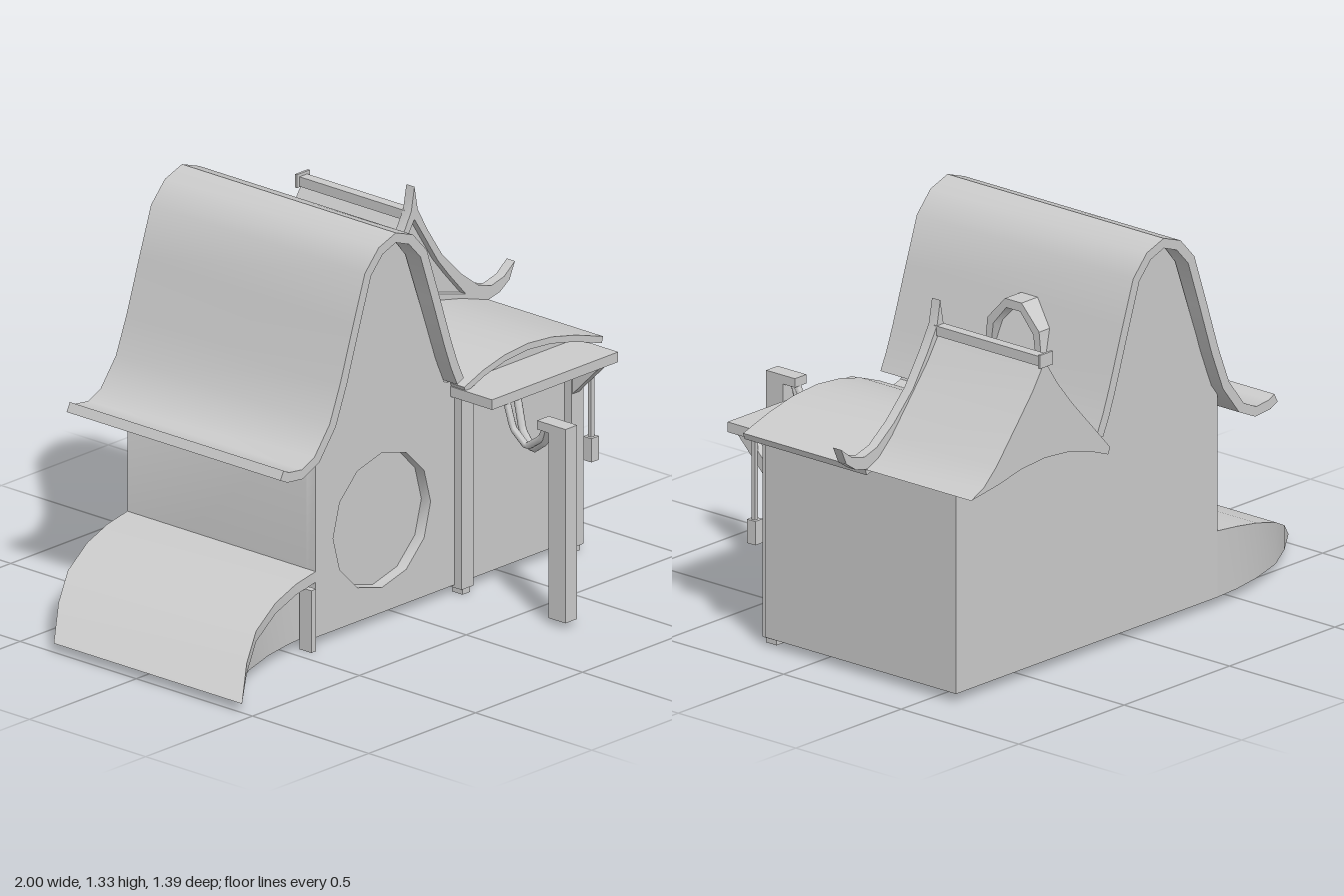
import * as THREE from 'three';
import { toCreasedNormals } from 'three/addons/utils/BufferGeometryUtils.js';

const material = new THREE.MeshStandardMaterial({ color: 0xcccccc, side: THREE.DoubleSide });
const V = (p) => new THREE.Vector2(p[0], p[1]);

// Prism with an (x, y) outline between two depths
function prism(outline, z0, z1, hole) {
  const shape = new THREE.Shape(outline.map(V));
  if (hole) shape.holes.push(new THREE.Path(hole.map(V)));
  const geo = new THREE.ExtrudeGeometry(shape, { depth: z1 - z0, bevelEnabled: false });
  geo.translate(0, 0, z0);
  return toCreasedNormals(geo, 0.6);
}

// Closed outline of a line thickened downward along its normals
function band(line, t) {
  const under = line.map((p, i) => {
    const a = line[Math.max(i - 1, 0)], b = line[Math.min(i + 1, line.length - 1)];
    const dx = b[0] - a[0], dy = b[1] - a[1], l = Math.hypot(dx, dy);
    return [p[0] + (dy / l) * t, p[1] - (dx / l) * t];
  });
  return [...line, ...under.reverse()];
}

export function createModel() {
  const model = new THREE.Group();
  const add = (name, geo) => {
    const mesh = new THREE.Mesh(geo, material);
    mesh.name = name;
    model.add(mesh);
    return mesh;
  };
  // Box given by its limits
  const box = (name, x0, x1, y0, y1, z0, z1) => add(name,
    new THREE.BoxGeometry(x1 - x0, y1 - y0, z1 - z0)
      .translate((x0 + x1) / 2, (y0 + y1) / 2, (z0 + z1) / 2));

  // Main house with a recessed round door
  const wall = [[-0.4, 0.03], [0.26, 0.03], [0.26, 0.71], [0.2, 0.73], [0.16, 0.82], [0.1, 0.99],
    [0.02, 1.21], [-0.03, 1.27], [-0.09, 1.3], [-0.15, 1.27], [-0.2, 1.21], [-0.28, 0.99],
    [-0.35, 0.8], [-0.4, 0.71]];
  const round = [];
  for (let i = 0; i < 12; i++) {
    const a = (i / 12) * Math.PI * 2;
    round.push([-0.09 + 0.228 * Math.sin(a), 0.342 + 0.228 * Math.cos(a)]);
  }
  add('mainWalls', prism(wall, -0.59, 0.18));
  add('frontWall', prism(wall, 0.18, 0.22, round));

  // Steep bell-shaped roof with an upturned left eave
  const roofLine = [[-0.615, 0.668], [-0.59, 0.655], [-0.53, 0.648], [-0.47, 0.675], [-0.4, 0.765],
    [-0.35, 0.89], [-0.29, 1.07], [-0.235, 1.23], [-0.17, 1.3], [-0.09, 1.328], [-0.01, 1.3],
    [0.055, 1.23], [0.11, 1.07], [0.17, 0.89], [0.2, 0.81], [0.228, 0.75]];
  add('mainRoof', prism(band(roofLine, 0.033), -0.64, 0.28));

  // Side wing under a low arched roof
  const arch = [[0.23, 0.718], [0.32, 0.752], [0.42, 0.776], [0.53, 0.785], [0.64, 0.776],
    [0.75, 0.752], [0.88, 0.712]];
  const lowArch = arch.map(([x, y]) => [x, y - 0.02]).reverse();
  add('wingWalls', prism([[0.23, 0.03], [0.84, 0.03], [0.84, 0.712],
    ...lowArch.slice(1, -1), [0.23, 0.7]], -0.59, 0.22));
  add('wingRoof', prism(band(arch, 0.022), -0.24, 0.28));

  // Rear gable block with concave slopes
  add('rearGable', prism([[0.22, 0.72], [0.28, 0.785], [0.4, 0.915], [0.47, 1.0], [0.53, 1.09],
    [0.59, 1.0], [0.66, 0.915], [0.76, 0.795], [0.82, 0.74], [0.88, 0.712],
    ...lowArch.slice(1)], -0.69, -0.235));
  box('ridgeBeam', 0.512, 0.548, 1.075, 1.108, -0.69, -0.235);
  box('ridgeBeamEnd', 0.5, 0.56, 1.073, 1.118, -0.697, -0.688);

  // Pointed gable frame with an upswept right tip
  add('gableFrame', prism([[0.2, 0.82], [0.245, 0.775], [0.31, 0.84], [0.4, 0.925], [0.47, 1.03],
    [0.515, 1.11], [0.53, 1.19], [0.545, 1.11], [0.59, 1.03], [0.66, 0.925], [0.75, 0.835],
    [0.83, 0.775], [0.89, 0.757], [0.95, 0.772], [1.0, 0.81], [0.975, 0.755], [0.93, 0.725],
    [0.87, 0.712], [0.75, 0.752], [0.64, 0.776], [0.53, 0.785], [0.42, 0.776], [0.32, 0.752],
    [0.23, 0.73]], -0.245, -0.21,
  [[0.29, 0.762], [0.37, 0.85], [0.42, 0.91], [0.53, 1.08], [0.64, 0.91], [0.69, 0.85],
    [0.77, 0.762], [0.65, 0.795], [0.53, 0.808], [0.41, 0.795]]));

  // Angular window frame on the right slope, symmetric about z = -0.24
  const mirrored = (half) => [...half, ...half.slice().reverse().map(([z, y]) => [-z, y])]
    .map(([z, y]) => [z - 0.24, y]);
  const dormer = prism(mirrored([[0.035, 1.095], [0.11, 1.015], [0.12, 0.92], [0.16, 0.825]]),
    -0.178, -0.07,
    mirrored([[0.03, 1.065], [0.085, 1.0], [0.095, 0.925], [0.125, 0.845]]));
  add('windowFrame', dormer.rotateY(-Math.PI / 2));

  // Wall posts, porch canopy and its braces
  for (const [x0, x1] of [[0.25, 0.305], [0.765, 0.82]]) {
    box('porchPost', x0, x1, 0.02, 0.7, 0.2, 0.25);
    box('postFoot', x0 + 0.01, x1 - 0.01, 0, 0.03, 0.2, 0.245);
  }
  box('leftPost', -0.453, -0.43, 0, 0.21, 0.2, 0.25);
  box('porchCanopy', 0.23, 0.82, 0.672, 0.706, 0.2, 0.4);
  const brace = prism([[0.24, 0.53], [0.385, 0.675], [0.335, 0.675], [0.24, 0.58]], -0.8, -0.768);
  add('canopyBrace', brace.rotateY(-Math.PI / 2));

  // Hanging lantern
  box('lanternRod', 0.797, 0.813, 0.39, 0.68, 0.29, 0.305);
  box('lantern', 0.787, 0.822, 0.32, 0.4, 0.28, 0.315);

  // Free-standing post and its two sagging ropes
  box('gatePost', 0.25, 0.305, 0.02, 0.675, 0.625, 0.697);
  box('gatePostArm', 0.25, 0.305, 0.645, 0.675, 0.575, 0.63);
  for (const [x1, lift] of [[0.37, 0], [0.315, 0.018]]) {
    const path = new THREE.CurvePath();
    const pts = [[0, 0.65, 0.605], [0.2, 0.585, 0.565], [0.5, 0.535, 0.49], [0.8, 0.575, 0.42],
      [1, 0.67, 0.38]].map(([t, y, z]) => new THREE.Vector3(0.275 + t * (x1 - 0.275), y + lift, z));
    for (let i = 0; i < 4; i++) path.add(new THREE.LineCurve3(pts[i], pts[i + 1]));
    add('rope', new THREE.TubeGeometry(path, 16, 0.013, 6));
  }

  // Ramp sweeping forward: [x, top y, front z]; open underneath
  const ramp = [[-1, 0.03, 0.455], [-0.88, 0.112, 0.365], [-0.76, 0.17, 0.295], [-0.62, 0.215, 0.25],
    [-0.5, 0.24, 0.228], [-0.4, 0.253, 0.22]];
  const strip = (name, section) => {
    const rows = ramp.map(section), n = rows[0].length, index = [];
    for (let i = 0; i + 1 < rows.length; i++) {
      for (let j = 0; j + 1 < n; j++) {
        const a = i * n + j, b = a + n;
        index.push(a, b, a + 1, b, b + 1, a + 1);
      }
    }
    const geo = new THREE.BufferGeometry();
    geo.setAttribute('position', new THREE.Float32BufferAttribute(rows.flat(2), 3));
    geo.setIndex(index);
    add(name, toCreasedNormals(geo, 0.6));
  };
  const lower = (y) => Math.max(0.03, y - 0.036);
  strip('rampTop', ([x, y, z]) => [[x, lower(y), z - 0.03], [x, lower(y), z], [x, y, z],
    [x, y, z - 0.81], [x, 0.03, z - 0.81]]);
  strip('rampFrontWall', ([x, y, z]) => [[x, 0.03, z - 0.03], [x, lower(y), z - 0.03]]);

  return model;
}
